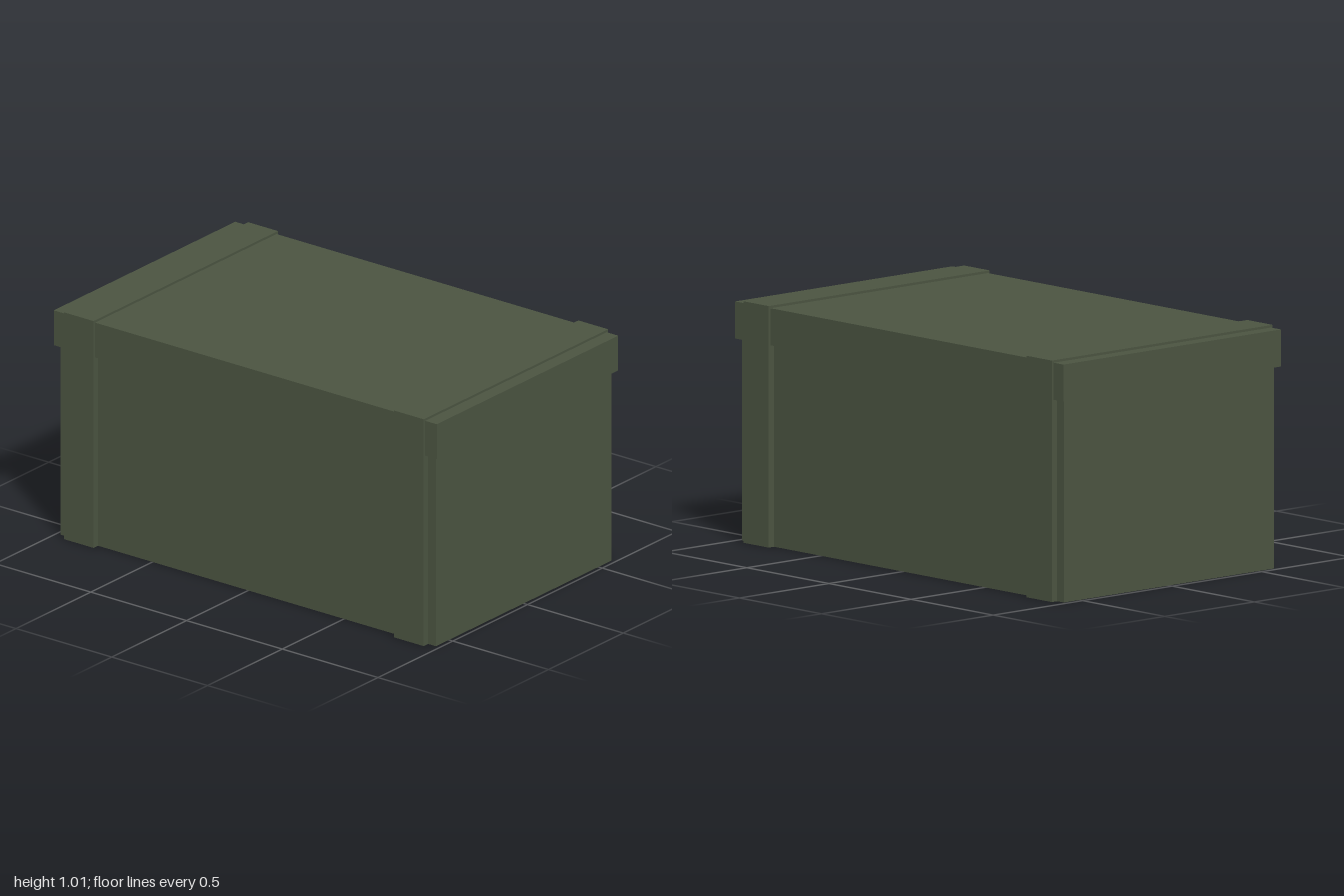
import * as THREE from 'three';

export function createModel() {
  const model = new THREE.Group();
  model.name = 'crate';
  const olive = new THREE.MeshStandardMaterial({ color: 0x4b5441 });
  olive.name = 'olive green';

  // Box given by its size, centre x and z, and bottom height
  function addBox(name, [w, h, d], [x, y, z], parent = model) {
    const mesh = new THREE.Mesh(new THREE.BoxGeometry(w, h, d), olive);
    mesh.name = name;
    mesh.position.set(x, y + h / 2, z);
    parent.add(mesh);
  }

  // Body and overhanging lid
  addBox('body', [1.96, 0.845, 1.174], [0, 0, 0]);
  addBox('lid', [2, 0.155, 1.214], [0, 0.845, 0]);

  // Two straps running up the front, over the lid and down the back
  for (const side of [1, -1]) {
    const strap = new THREE.Group();
    strap.name = side > 0 ? 'leftStrap' : 'rightStrap';
    strap.position.x = side * 0.862;
    addBox('strapTop', [0.155, 0.01, 1.234], [0, 1, 0], strap);
    addBox('strapFront', [0.155, 1, 0.03], [0, 0, 0.602], strap);
    addBox('strapBack', [0.155, 1, 0.03], [0, 0, -0.602], strap);
    model.add(strap);
  }
  return model;
}
